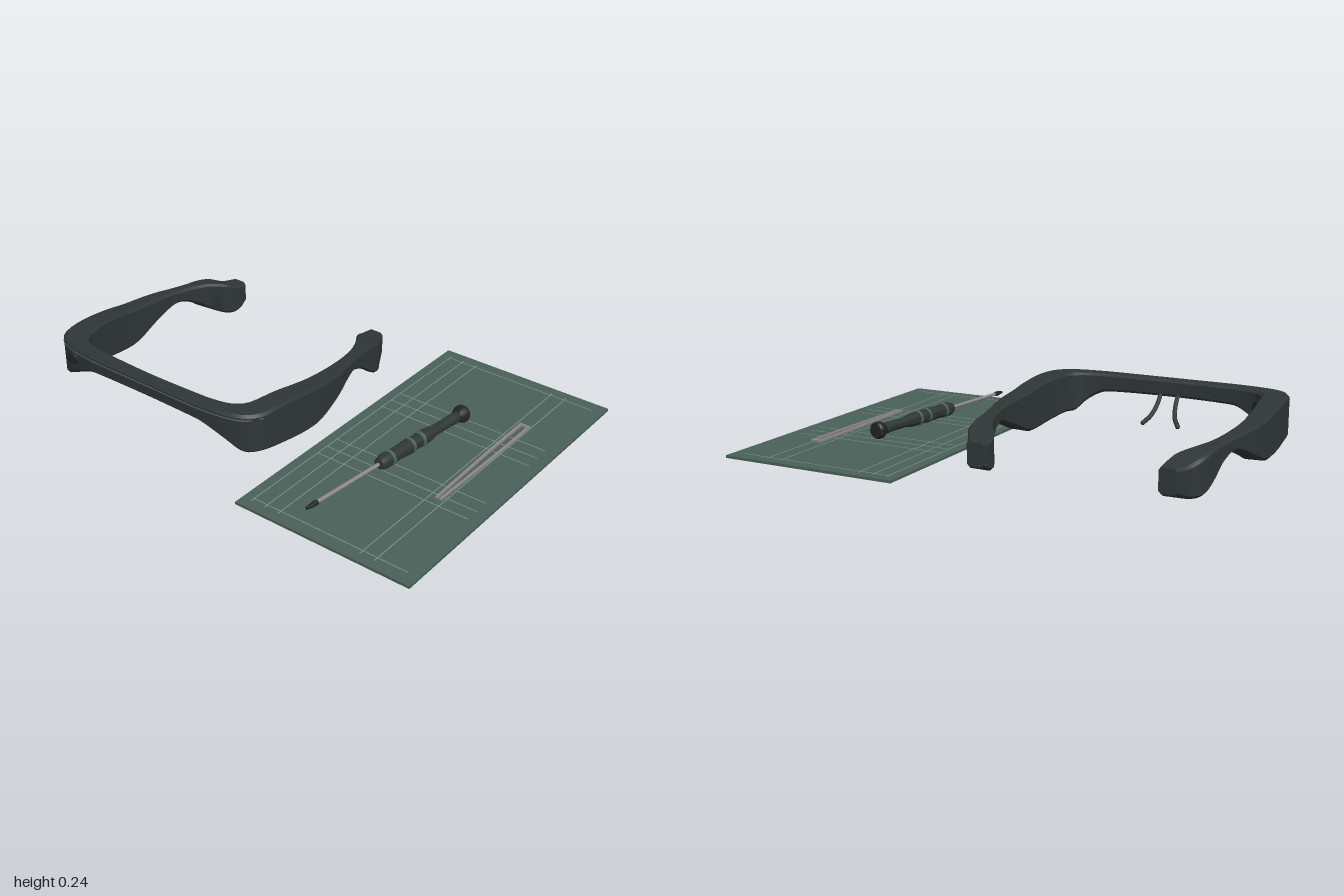
import * as THREE from 'three';
import { toCreasedNormals } from 'three/addons/utils/BufferGeometryUtils.js';

const mat = (name, color, extra = {}) => Object.assign(new THREE.MeshStandardMaterial({ color, ...extra }), { name });

// Half of the frame, from bridge to ear tip: outer x, outer z, inner x, inner z, top y, bottom y
const HALF = [
  [0, .565, 0, .50, .235, .16],
  [.25, .565, .25, .493, .235, .157],
  [.32, .562, .32, .487, .235, .148],
  [.42, .55, .38, .475, .235, .11],
  [.50, .522, .42, .452, .235, .066],
  [.55, .46, .445, .41, .235, .062],
  [.563, .35, .465, .30, .235, .048],
  [.57, .22, .475, .20, .222, .034],
  [.568, .12, .478, .11, .208, .036],
  [.56, 0, .48, 0, .20, .08],
  [.545, -.08, .477, -.09, .196, .114],
  [.53, -.15, .468, -.16, .19, .13],
  [.515, -.23, .45, -.24, .184, .10],
  [.508, -.30, .42, -.31, .178, .05],
  [.497, -.37, .375, -.38, .162, .013],
  [.465, -.43, .355, -.435, .138, .012],
  [.435, -.49, .362, -.49, .135, .035],
];
const CX = -.43;

// Sweeps a chamfered rectangle along mirrored stations
function loftFrame(half, chamfer, steps) {
  const mirrored = half.slice(1).reverse().map(([a, b, c, d, e, f]) => [-a, b, -c, d, e, f]);
  const all = [...mirrored, ...half];
  const outer = new THREE.CatmullRomCurve3(all.map(s => new THREE.Vector3(s[0], s[4], s[1])), false, 'catmullrom', .5);
  const inner = new THREE.CatmullRomCurve3(all.map(s => new THREE.Vector3(s[2], s[5], s[3])), false, 'catmullrom', .5);
  const pos = [], idx = [], n = (all.length - 1) * steps;
  for (let j = 0; j <= n; j++) {
    const o = outer.getPoint(j / n), i = inner.getPoint(j / n);
    const w = Math.hypot(i.x - o.x, i.z - o.z), top = o.y, bot = i.y, c = chamfer, k = c / w;
    const ring = [[0, bot + c], [0, top - c], [k, top], [1 - k, top], [1, top - c], [1, bot + c], [1 - k, bot], [k, bot]];
    for (const [a, y] of ring) pos.push(CX + o.x + (i.x - o.x) * a, y, o.z + (i.z - o.z) * a);
  }
  for (let j = 0; j < n; j++) for (let k = 0; k < 8; k++) {
    const a = j * 8 + k, b = j * 8 + (k + 1) % 8;
    idx.push(a, a + 8, b, b, a + 8, b + 8);
  }
  for (let k = 1; k < 7; k++) idx.push(0, k, k + 1, n * 8, n * 8 + k + 1, n * 8 + k);
  const g = new THREE.BufferGeometry();
  g.setAttribute('position', new THREE.Float32BufferAttribute(pos, 3));
  g.setIndex(idx);
  return toCreasedNormals(g, .6);
}

export function createModel() {
  const model = new THREE.Group();
  model.name = 'glassesAndTools';
  const frameMat = mat('charcoal', 0x2f3636);
  const seamMat = mat('seam grey', 0x596061);
  const darkMat = mat('near black', 0x202526);
  const boardMat = mat('board green', 0x4a6058);
  const lineMat = mat('line green', 0x789084);
  const ringMat = mat('ring green', 0x48645a);
  const steelMat = mat('steel', 0x8c878a);

  const add = (parent, name, geo, material, x = 0, y = 0, z = 0) => {
    const m = new THREE.Mesh(geo, material);
    m.name = name;
    m.position.set(x, y, z);
    parent.add(m);
    return m;
  };

  // Glasses: frame, seam around the front, button and inner lens
  const glasses = new THREE.Group();
  glasses.name = 'glasses';
  model.add(glasses);
  add(glasses, 'frame', loftFrame(HALF, .011, 4), frameMat);
  const seam = HALF.slice(0, 6).map(([x, z]) => {
    const s = x > .45 ? .002 : 0;
    return [x + s, z + .002, x - .002, z - .003, .217, .212];
  });
  add(glasses, 'frontSeam', loftFrame(seam, .0005, 4), seamMat);
  const button = add(glasses, 'button', new THREE.CylinderGeometry(.026, .031, .04, 24), darkMat, -.84, .185, .548);
  button.rotation.x = Math.PI / 2;
  const lens = add(glasses, 'innerLens', new THREE.CylinderGeometry(.035, .035, .03, 24), darkMat, -.855, .155, .452);
  lens.quaternion.setFromUnitVectors(new THREE.Vector3(0, 1, 0), new THREE.Vector3(.7, 0, -.71).normalize());

  // Curved nose pads
  for (const s of [-1, 1]) {
    const path = new THREE.CatmullRomCurve3([[.04, .17, .51], [.042, .13, .48], [.055, .085, .44], [.08, .055, .412]]
      .map(([x, y, z]) => new THREE.Vector3(CX + s * x, y, z)));
    add(glasses, 'nosePad', new THREE.TubeGeometry(path, 16, .01, 8), frameMat);
    const end = path.getPoint(1);
    add(glasses, 'nosePadTip', new THREE.SphereGeometry(.0105, 10, 8), frameMat, end.x, end.y, end.z);
  }

  // Work mat with printed guide lines
  const board = new THREE.Group();
  board.name = 'workMat';
  model.add(board);
  add(board, 'matSheet', new THREE.BoxGeometry(.797, .011, 1.46), boardMat, .6, .0055, 0);
  for (const x of [.245, .31, .375, .755, .82])
    add(board, 'lengthLine', new THREE.BoxGeometry(.004, .001, 1.38), lineMat, x, .0115, 0);
  for (const z of [-.675, -.29, -.225, -.16, .155, .22, .28, .67])
    add(board, 'crossLine', new THREE.BoxGeometry(.705, .001, .004), lineMat, .598, .0115, z);

  // Screwdriver, turned along its axis
  const driver = new THREE.Group();
  driver.name = 'screwdriver';
  driver.position.set(.578, .06, -.272);
  driver.rotation.y = -.106;
  model.add(driver);
  const turned = (name, profile, material) => {
    const g = new THREE.LatheGeometry(profile.map(([r, s]) => new THREE.Vector2(r, s)), 24);
    g.rotateX(Math.PI / 2);
    return add(driver, name, toCreasedNormals(g, .6), material);
  };
  turned('handleCap', [[0, 0], [.030, .002], [.037, .012], [.037, .028], [.028, .048], [.018, .055], [0, .055]], darkMat);
  turned('handle', [[0, .05], [.021, .052], [.024, .07], [.022, .10], [.022, .19], [.028, .225], [.030, .25],
    [.030, .275], [.028, .30], [.032, .35], [.028, .42], [.030, .46], [.031, .50], [.024, .525], [.012, .53], [0, .53]], frameMat);
  for (const s of [.283, .345, .465])
    turned('gripRing', [[.026, s - .009], [.0325, s - .007], [.0325, s + .007], [.026, s + .009]], ringMat);
  turned('shaft', [[.008, .52], [.008, .875]], steelMat);
  turned('bit', [[0, .868], [.010, .87], [.011, .885], [.006, .925], [0, .926]], darkMat);

  // Tweezers: two tapering arms joined at the back
  const tweezers = new THREE.Group();
  tweezers.name = 'tweezers';
  model.add(tweezers);
  add(tweezers, 'tweezerJoint', new THREE.BoxGeometry(.05, .01, .014), steelMat, .797, .018, -.387);
  for (const s of [-1, 1]) {
    const arm = new THREE.Shape([[.024, .39], [.024, .15], [.014, -.25], [.004, -.25], [.012, .15], [.012, .39]]
      .map(([x, y]) => new THREE.Vector2(s * x, y)));
    const g = new THREE.ExtrudeGeometry(arm, { depth: .009, bevelEnabled: false });
    g.rotateX(-Math.PI / 2);
    add(tweezers, 'tweezerArm', g, steelMat, .797, .0135, 0);
  }
  return model;
}
